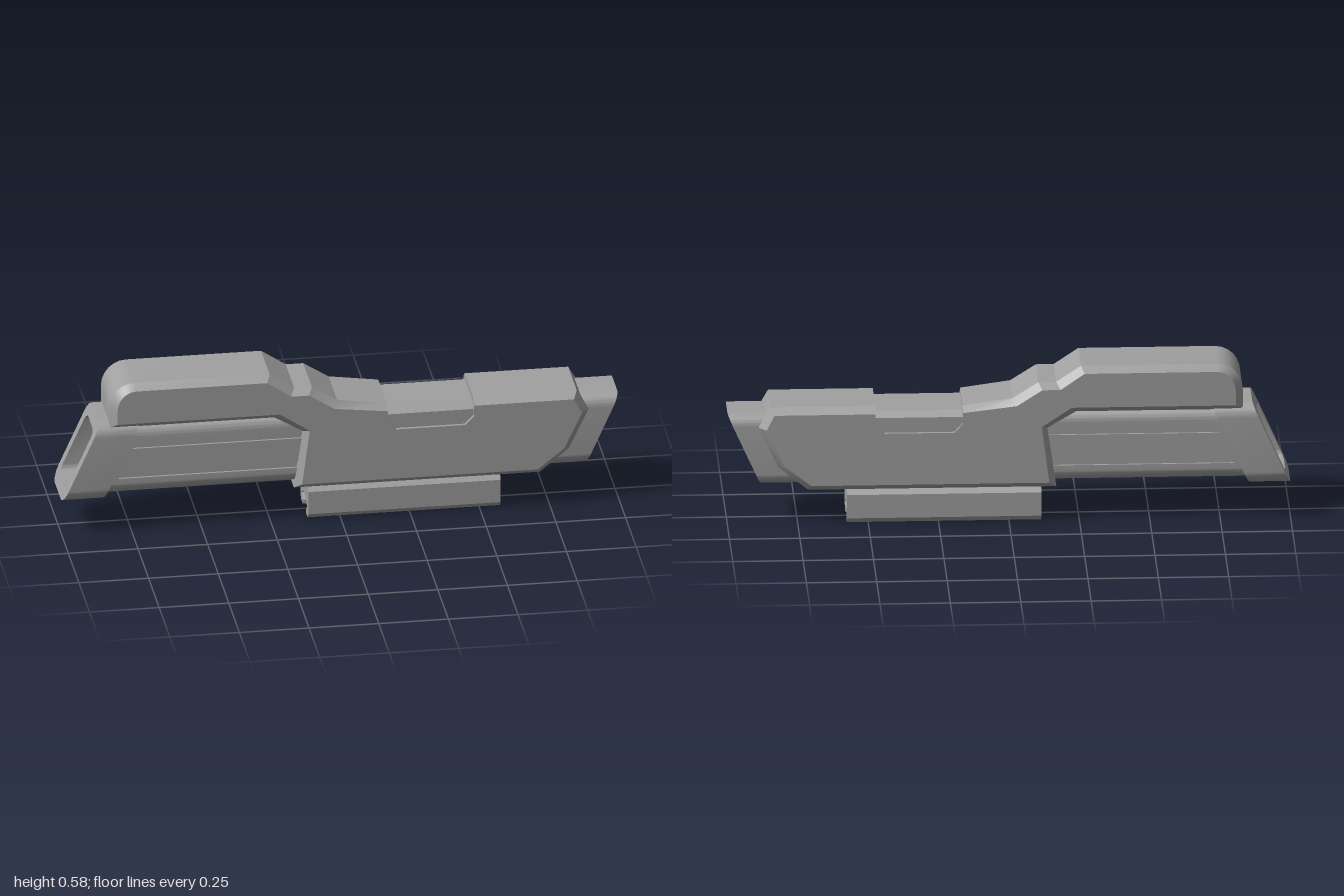
import * as THREE from 'three';
import { toCreasedNormals } from 'three/addons/utils/BufferGeometryUtils.js';

const grey = new THREE.MeshStandardMaterial({ color: 0xa0a0a0 });
grey.name = 'grey';

const SLANT = 0.45; // lean of the tube ends
const Z_EDGE = 0.1, Z_SIDE = 0.127; // chamfer start and side face of the shell

function addMesh(group, name, geometry, crease = 0.6) {
  const mesh = new THREE.Mesh(toCreasedNormals(geometry, crease), grey);
  mesh.name = name;
  group.add(mesh);
}

// Rounded rectangle in (z, y), optionally with grooves cut into both sides
function roundRect(path, w, y0, y1, r, grooves = [], depth = 0.008) {
  path.moveTo(-w + r, y0);
  path.absarc(w - r, y0 + r, r, -Math.PI / 2, 0);
  for (const [a, b] of grooves) {
    path.lineTo(w, a).lineTo(w - depth, a).lineTo(w - depth, b).lineTo(w, b);
  }
  path.absarc(w - r, y1 - r, r, 0, Math.PI / 2);
  path.absarc(-w + r, y1 - r, r, Math.PI / 2, Math.PI);
  for (const [a, b] of [...grooves].reverse()) {
    path.lineTo(-w, b).lineTo(-w + depth, b).lineTo(-w + depth, a).lineTo(-w, a);
  }
  path.absarc(-w + r, y0 + r, r, Math.PI, Math.PI * 1.5);
  return path;
}

// Extrude a (z, y) section along x, then lean it
function alongX(shape, x0, x1, slant = 0) {
  const g = new THREE.ExtrudeGeometry(shape, { depth: x1 - x0, bevelEnabled: false, curveSegments: 6 });
  g.rotateY(Math.PI / 2).translate(x0, 0, 0);
  const p = g.attributes.position;
  for (let i = 0; i < p.count; i++) p.setX(i, p.getX(i) + slant * (p.getY(i) - 0.28));
  return g;
}

function hollow(x0, x1, w, y0, y1, r, grooves) {
  const shape = roundRect(new THREE.Shape(), w, y0, y1, r, grooves);
  shape.holes.push(roundRect(new THREE.Path(), 0.08, 0.167, 0.39, 0.03));
  return alongX(shape, x0, x1, SLANT);
}

function polygon(points) {
  return new THREE.Shape(points.map(([x, y]) => new THREE.Vector2(x, y)));
}

function mirrored(points) {
  return [...points, ...points.map(([z, y]) => [-z, y]).reverse()];
}

// Chamfered shell: rows are edge x, edge y, side x, side y, and whether a wall follows
function shellGeometry() {
  const rows = [[-0.83, 0.41, -0.805, 0.432, 1]];
  for (let i = 0; i <= 6; i++) {
    const a = Math.PI - (i / 6) * Math.PI / 2, c = Math.cos(a), s = Math.sin(a);
    rows.push([-0.74 + 0.09 * c, 0.485 + 0.095 * s, -0.738 + 0.066 * c, 0.485 + 0.073 * s, 1]);
  }
  rows.push(
    [-0.255, 0.58, -0.267, 0.558, 1], [-0.167, 0.521, -0.182, 0.499, 1],
    [-0.104, 0.521, -0.117, 0.499, 1], [-0.013, 0.463, -0.027, 0.441, 1],
    // notch
    [0.165, 0.438, 0.165, 0.418, 1], [0.165, 0.4, 0.165, 0.4, 0],
    [0.165, 0.378, 0.165, 0.378, 0], [0.195, 0.345, 0.195, 0.345, 0],
    [0.443, 0.345, 0.443, 0.345, 0], [0.475, 0.378, 0.475, 0.378, 0],
    [0.475, 0.4, 0.475, 0.4, 1], [0.475, 0.441, 0.475, 0.418, 1],
    // nose
    [0.847, 0.441, 0.834, 0.418, 0], [0.89, 0.366, 0.862, 0.363, 0],
    [0.82, 0.217, 0.798, 0.228, 0], [0.714, 0.131, 0.704, 0.153, 1],
    // underside and lower back edge
    [-0.168, 0.131, -0.142, 0.153, 0], [-0.136, 0.35, -0.115, 0.361, 0],
    [-0.238, 0.41, -0.222, 0.432, 1]);

  const pos = [];
  const quad = (a, b, c, d) => pos.push(...a, ...b, ...c, ...a, ...c, ...d);
  rows.forEach((p, i) => {
    const q = rows[(i + 1) % rows.length];
    const edge = (r, s) => [r[0], r[1], s * Z_EDGE], side = (r, s) => [r[2], r[3], s * Z_SIDE];
    quad(side(p, 1), side(q, 1), edge(q, 1), edge(p, 1));
    quad(edge(p, -1), edge(q, -1), side(q, -1), side(p, -1));
    if (p[4]) quad(edge(p, 1), edge(q, 1), edge(q, -1), edge(p, -1));
  });

  // flat side faces
  const cap = new THREE.ShapeGeometry(polygon(rows.map((r) => [r[2], r[3]]))).toNonIndexed().attributes.position;
  for (let i = 0; i < cap.count; i += 3) {
    const t = [0, 1, 2].map((k) => [cap.getX(i + k), cap.getY(i + k)]);
    for (const v of t) pos.push(...v, Z_SIDE);
    for (const v of t.reverse()) pos.push(...v, -Z_SIDE);
  }

  // end walls, in strips around the opening for the tube
  const opening = (y) => {
    if (y <= 0.158 || y >= 0.4) return 0;
    const d = Math.max(0, 0.193 - y, y - 0.365);
    return 0.055 + Math.sqrt(Math.max(0, 0.035 ** 2 - d * d));
  };
  const endWall = (line, facing) => {
    const top = line[line.length - 1][1];
    const xAt = (y) => {
      let k = 0;
      while (k < line.length - 2 && y > line[k + 1][1]) k++;
      const [x0, y0] = line[k], [x1, y1] = line[k + 1];
      return x0 + (x1 - x0) * (y - y0) / (y1 - y0);
    };
    const levels = [...line.map((p) => p[1]), 0.158, 0.164, 0.175, 0.193, 0.365, 0.383, 0.394, 0.4]
      .filter((y) => y <= top).sort((a, b) => a - b);
    for (let i = 0; i + 1 < levels.length; i++) {
      const a = levels[i], b = levels[i + 1];
      if (b - a < 1e-5) continue;
      for (const s of [1, -1]) {
        const c = [
          [xAt(a), a, s * opening(a + 1e-6)], [xAt(a), a, s * Z_EDGE],
          [xAt(b), b, s * Z_EDGE], [xAt(b), b, s * opening(b - 1e-6)]];
        quad(...(s * facing > 0 ? c.reverse() : c));
      }
    }
  };
  endWall([[0.714, 0.131], [0.82, 0.217], [0.89, 0.366], [0.847, 0.441]], 1);
  endWall([[-0.168, 0.131], [-0.136, 0.35], [-0.238, 0.41]], -1);

  const g = new THREE.BufferGeometry();
  g.setAttribute('position', new THREE.Float32BufferAttribute(pos, 3));
  return g;
}

export function createModel() {
  const group = new THREE.Group();
  group.name = 'mountedHousing';

  addMesh(group, 'shell', shellGeometry(), 0.35);

  // saddle sunk into the notch
  addMesh(group, 'notchSaddle', alongX(polygon(mirrored([
    [0.095, 0.33], [0.115, 0.33], [0.115, 0.4], [0.094, 0.421],
    [-0.094, 0.421], [-0.115, 0.4], [-0.115, 0.33], [-0.095, 0.33],
    [-0.095, 0.396], [0.095, 0.396],
  ].slice(0, 4)).concat([[-0.095, 0.33], [-0.095, 0.396], [0.095, 0.396]])), 0.165, 0.475), 0.3);

  // tube through the shell, grooved on the exposed length
  addMesh(group, 'tubeBack', hollow(-0.788, -0.765, 0.1, 0.148, 0.411, 0.042));
  addMesh(group, 'groovedTube', hollow(-0.765, -0.05, 0.1, 0.148, 0.411, 0.042, [[0.208, 0.228], [0.322, 0.35]]));
  addMesh(group, 'tubeFront', hollow(-0.05, 0.94, 0.1, 0.148, 0.411, 0.042));
  addMesh(group, 'endCollar', hollow(-0.9325, -0.787, 0.119, 0.13, 0.43, 0.05));

  // rail clamp below
  addMesh(group, 'railClamp', alongX(polygon(mirrored([
    [0.037, 0.055], [0.064, 0.033], [0.039, 0.016], [0.039, 0], [0.077, 0],
    [0.096, 0.02], [0.096, 0.107], [0.076, 0.131],
  ])), -0.115, 0.575), 0.3);

  return group;
}
